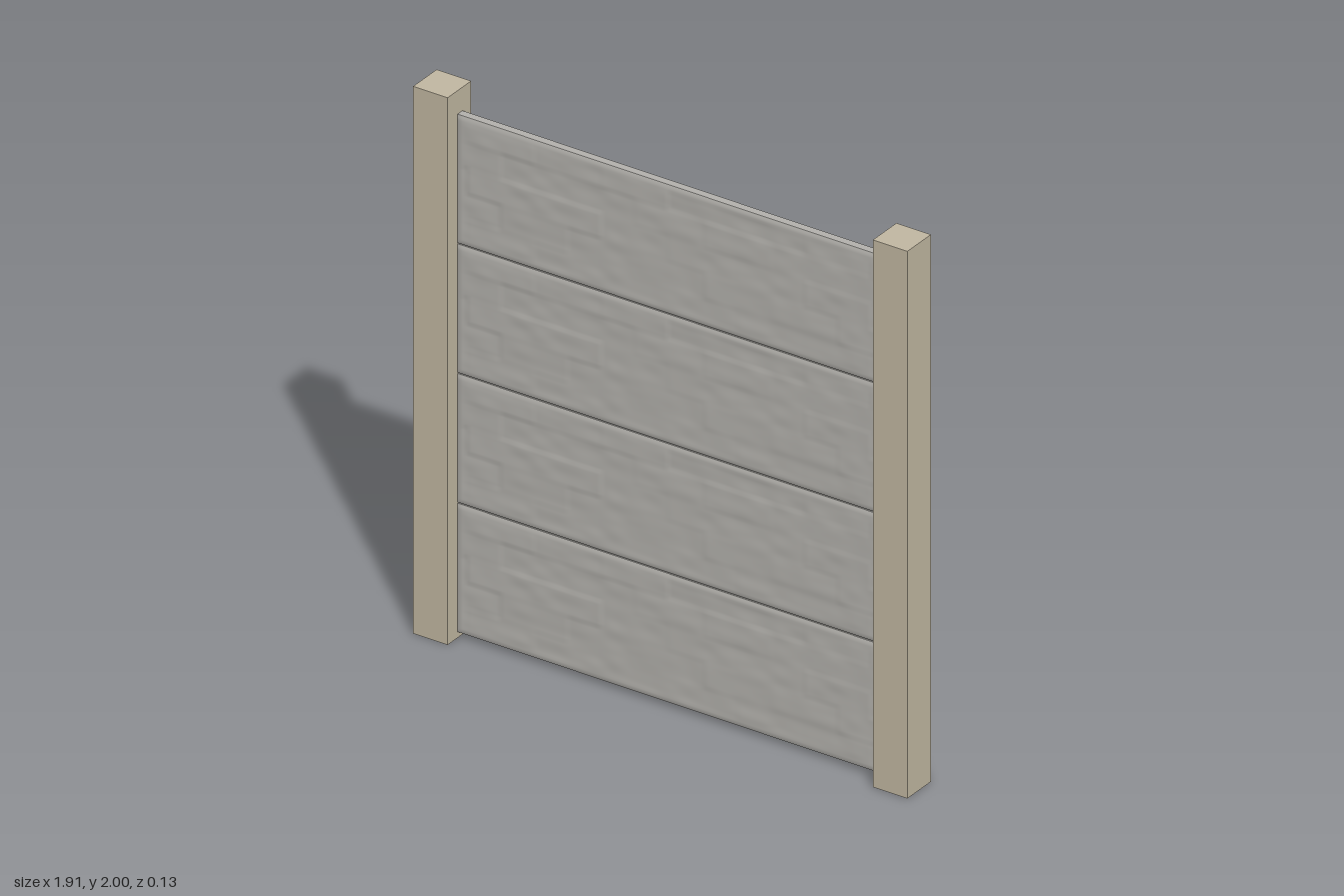
import * as THREE from 'three';

const POST = 0.133, HALF = 0.955, PANEL_W = 1.645, PITCH = 0.474, BASE = 0.02;
const BACK = -0.018, FRONT = 0.014;

// Seeded hash and smooth value noise
const hash = (x, y) => {
  const s = Math.sin(x * 127.1 + y * 311.7) * 43758.5453;
  return s - Math.floor(s);
};
const smooth = (a, b, t) => THREE.MathUtils.smoothstep(t, a, b);
function noise(x, y) {
  const i = Math.floor(x), j = Math.floor(y);
  const u = smooth(0, 1, x - i), v = smooth(0, 1, y - j);
  const low = THREE.MathUtils.lerp(hash(i, j), hash(i + 1, j), u);
  const high = THREE.MathUtils.lerp(hash(i, j + 1), hash(i + 1, j + 1), u);
  return THREE.MathUtils.lerp(low, high, v);
}

// Height of the split-stone face: staggered courses, soft lumps, bevelled rim
function relief(x, y, w, h) {
  const rows = 5, row = Math.floor((y / h + 0.5) * rows * 0.999);
  const col = Math.floor((x + row * 0.13) / 0.26);
  const block = (hash(col, row + 9) - 0.5) * 0.003;
  const lumps = (noise(x * 14 + 40, y * 26 + 40) - 0.5) * 0.003;
  const edge = Math.min(w / 2 - Math.abs(x), h / 2 - Math.abs(y));
  const inside = smooth(0.014, 0.035, edge);
  return (block + lumps) * inside - 0.004 * (1 - smooth(0, 0.012, edge));
}

// Slab with a carved front and a plain back
function stoneSlab(w, h) {
  const depth = FRONT - BACK;
  const geo = new THREE.BoxGeometry(w, h, depth, 140, 50, 1);
  const p = geo.attributes.position;
  for (let i = 0; i < p.count; i++) {
    if (p.getZ(i) > 0) p.setZ(i, depth / 2 + relief(p.getX(i), p.getY(i), w, h));
  }
  geo.translate(0, 0, (FRONT + BACK) / 2);
  geo.computeVertexNormals();
  return geo;
}

export function createModel() {
  const group = new THREE.Group();
  const postMat = new THREE.MeshStandardMaterial({ color: 0xc2b8a2 });
  postMat.name = 'sand concrete';
  const panelMat = new THREE.MeshStandardMaterial({ color: 0xb4b2ad });
  panelMat.name = 'grey concrete';

  const add = (name, geo, mat, x, y, z) => {
    const mesh = new THREE.Mesh(geo, mat);
    mesh.name = name;
    mesh.position.set(x, y, z);
    group.add(mesh);
  };

  // Square posts
  const postGeo = new THREE.BoxGeometry(POST, 2, POST);
  add('leftPost', postGeo, postMat, HALF - POST / 2, 1, 0);
  add('rightPost', postGeo, postMat, -HALF + POST / 2, 1, 0);

  // Four stacked panels, with a recessed tongue closing each joint
  const h = PITCH - 0.004;
  const slab = stoneSlab(PANEL_W, h);
  const tongue = new THREE.BoxGeometry(PANEL_W, 0.012, 0.016);
  for (let i = 0; i < 4; i++) {
    add('panel' + (i + 1), slab, panelMat, 0, BASE + PITCH * (i + 0.5), 0);
    if (i > 0) add('jointTongue' + i, tongue, panelMat, 0, BASE + PITCH * i, -0.003);
  }
  return group;
}
